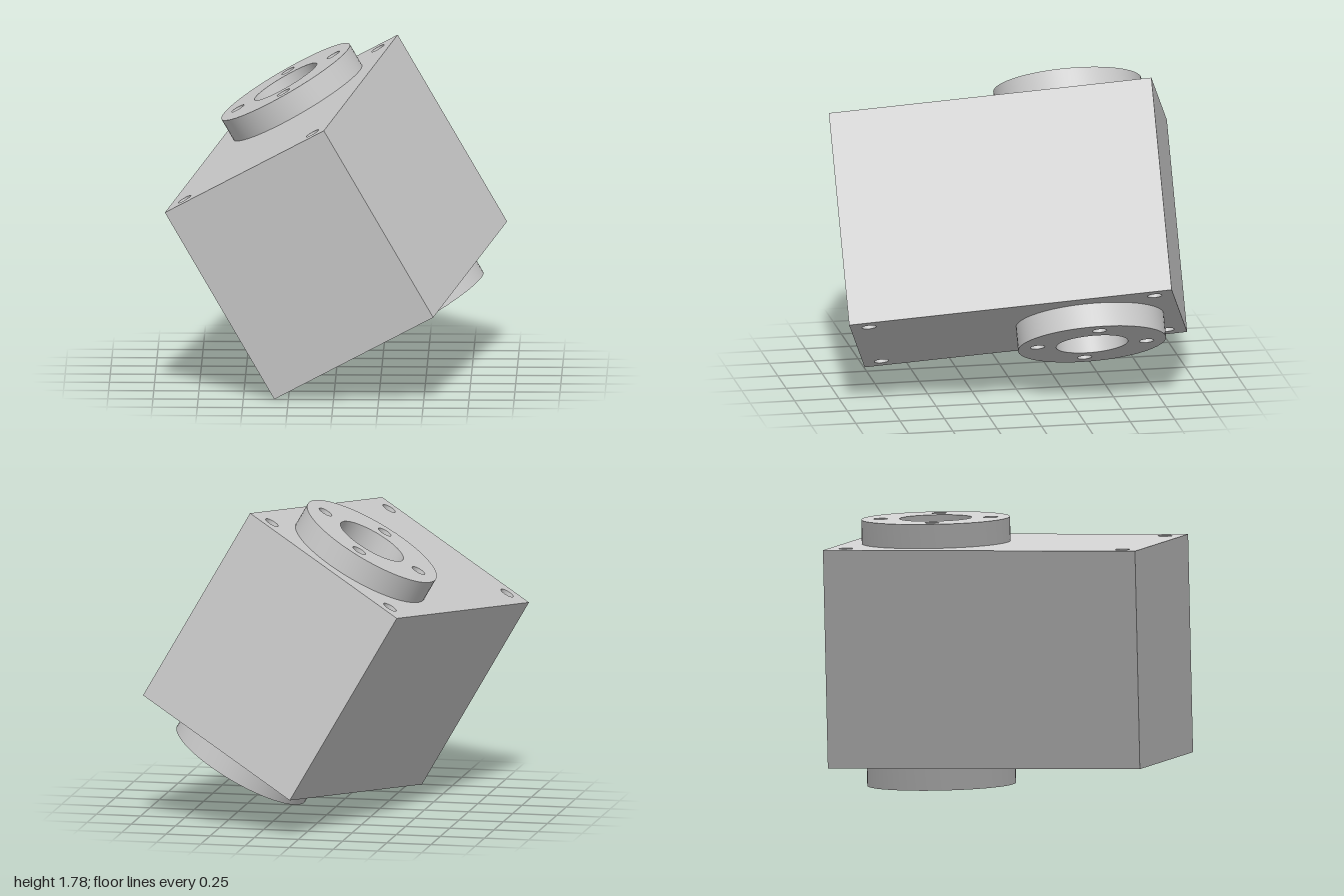
import * as THREE from 'three';
import { toCreasedNormals } from 'three/addons/utils/BufferGeometryUtils.js';

const WIDTH = 1.053, DEPTH = 1.8, HEIGHT = 1.212;
const FLANGE_Z = -0.4, FLANGE_RADIUS = 0.412, FLANGE_HEIGHT = 0.134;
const BORE_RADIUS = 0.2, BOLT_RADIUS = 0.04, BOLT_CIRCLE = 0.306;
const CORNER_INSET = 0.103;
const BOLT_TURN = THREE.MathUtils.degToRad(12.5);

// Circular hole in plan; shape y is the block's -z
function addHole(shape, x, z, radius) {
  shape.holes.push(new THREE.Path().absarc(x, -z, radius, 0, Math.PI * 2, true));
}

// Central bore with its ring of four bolt holes
function addBoreHoles(shape) {
  addHole(shape, 0, FLANGE_Z, BORE_RADIUS);
  for (let i = 0; i < 4; i++) {
    const a = BOLT_TURN + i * Math.PI / 2;
    addHole(shape, BOLT_CIRCLE * Math.cos(a), FLANGE_Z - BOLT_CIRCLE * Math.sin(a), BOLT_RADIUS);
  }
}

// Extrude a plan shape upward from a base height
function plate(name, shape, height, baseY, material) {
  let geo = new THREE.ExtrudeGeometry(shape, { depth: height, bevelEnabled: false, curveSegments: 32 });
  geo.rotateX(-Math.PI / 2);
  geo.translate(0, baseY, 0);
  geo = toCreasedNormals(geo, 0.5);
  const mesh = new THREE.Mesh(geo, material);
  mesh.name = name;
  return mesh;
}

export function createModel() {
  const material = new THREE.MeshStandardMaterial({ color: 0xcccccc });
  const w = WIDTH / 2, d = DEPTH / 2, h = HEIGHT / 2;

  // Rectangular block with corner bolt holes
  const blockShape = new THREE.Shape([
    new THREE.Vector2(-w, -d), new THREE.Vector2(w, -d),
    new THREE.Vector2(w, d), new THREE.Vector2(-w, d),
  ]);
  addBoreHoles(blockShape);
  for (const sx of [-1, 1]) {
    for (const sz of [-1, 1]) {
      addHole(blockShape, sx * (w - CORNER_INSET), sz * (d - CORNER_INSET), BOLT_RADIUS);
    }
  }

  // Round flange, used on both ends of the bore
  const flangeShape = new THREE.Shape();
  flangeShape.absarc(0, -FLANGE_Z, FLANGE_RADIUS, 0, Math.PI * 2, false);
  addBoreHoles(flangeShape);

  const housing = new THREE.Group();
  housing.name = 'housing';
  housing.add(
    plate('block', blockShape, HEIGHT, -h, material),
    plate('topFlange', flangeShape, FLANGE_HEIGHT, h, material),
    plate('bottomFlange', flangeShape, FLANGE_HEIGHT, -h - FLANGE_HEIGHT, material),
  );

  // The whole part rests tilted on one corner
  housing.rotation.set(0, THREE.MathUtils.degToRad(-14), THREE.MathUtils.degToRad(30), 'ZYX');
  housing.position.y = 0.893;

  const model = new THREE.Group();
  model.name = 'flangedBlock';
  model.add(housing);
  return model;
}
